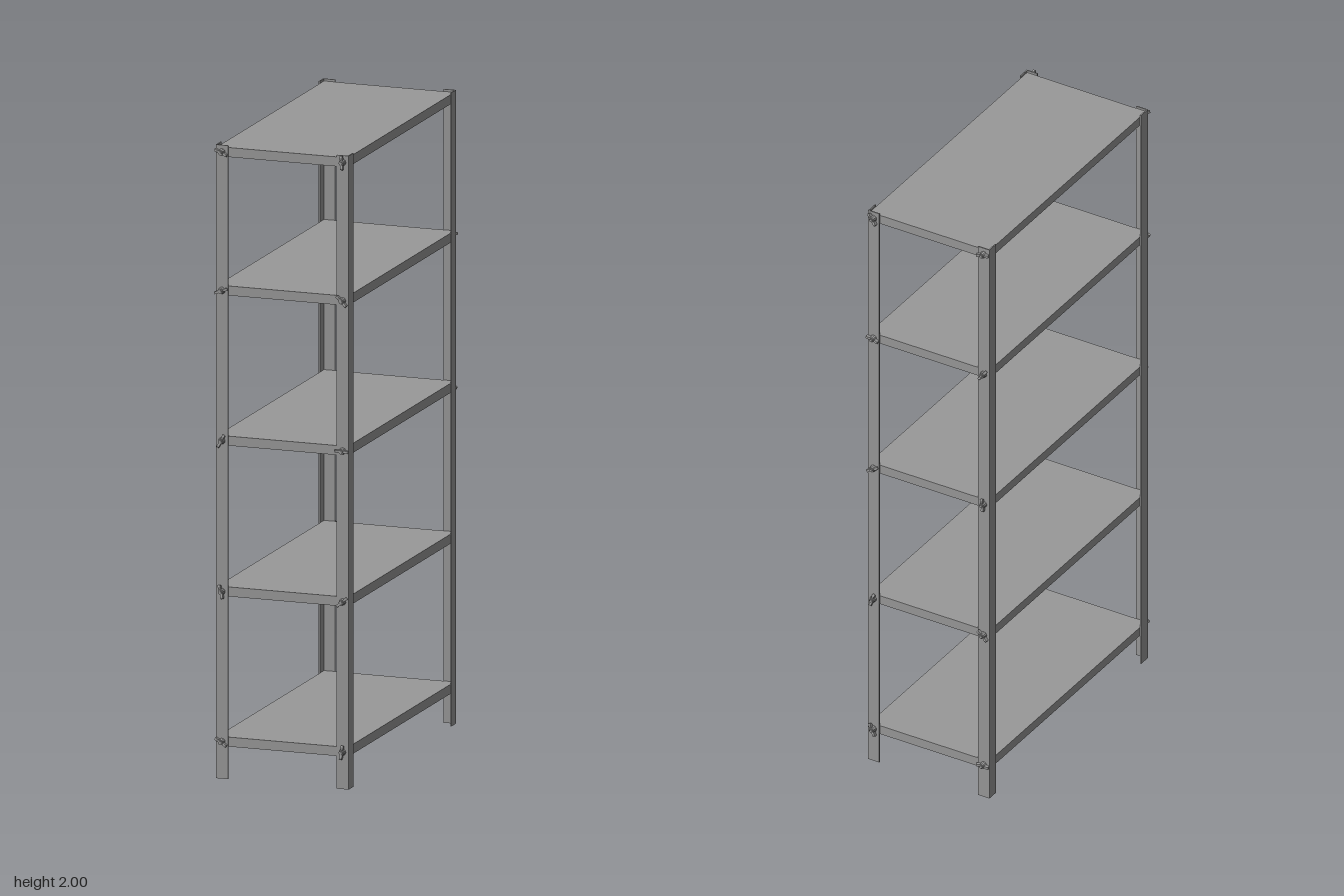
import * as THREE from 'three';

const HX = 0.218, HZ = 0.469;      // outer half width and depth of the frame
const T = 0.004;                   // sheet thickness
const FLANGE = 0.04, LIP = 0.03;   // post flange width, shelf lip height
const SHELF_TOPS = [0.132, 0.606, 1.082, 1.556, 1.993];

const steel = new THREE.MeshStandardMaterial({ color: 0x999999, flatShading: true });

function box(parent, name, w, h, d, x, y, z) {
  const mesh = new THREE.Mesh(new THREE.BoxGeometry(w, h, d), steel);
  mesh.name = name;
  mesh.position.set(x, y, z);
  parent.add(mesh);
}

// L-section corner post, open towards the middle of the rack
function post(sx, sz) {
  const outline = [[0, 0], [FLANGE, 0], [FLANGE, T], [T, T], [T, FLANGE], [0, FLANGE]]
    .map(([a, b]) => new THREE.Vector2(sx * (HX - a), -sz * (HZ - b)));
  const geometry = new THREE.ExtrudeGeometry(new THREE.Shape(outline), { depth: 2, bevelEnabled: false });
  geometry.rotateX(-Math.PI / 2);
  const mesh = new THREE.Mesh(geometry, steel);
  mesh.name = 'cornerPost';
  return mesh;
}

// Folded sheet tray, open underneath
function shelf(top) {
  const group = new THREE.Group();
  group.name = 'shelf';
  const w = 2 * (HX - T), d = 2 * (HZ - T);
  box(group, 'shelfPanel', w, T, d, 0, top - T / 2, 0);
  for (const s of [-1, 1]) {
    box(group, 'sideLip', T, LIP - T, d, s * (w - T) / 2, top - (LIP + T) / 2, 0);
    box(group, 'endLip', w - 2 * T, LIP - T, T, 0, top - (LIP + T) / 2, s * (d - T) / 2);
  }
  return group;
}

// Wing nut with a short bolt, pointing along +z from its base
function wingNut(angle) {
  const group = new THREE.Group();
  group.name = 'wingNut';
  const add = (name, geometry) => {
    const mesh = new THREE.Mesh(geometry, steel);
    mesh.name = name;
    group.add(mesh);
  };
  add('nutHub', new THREE.CylinderGeometry(0.008, 0.011, 0.014, 10).rotateX(Math.PI / 2).translate(0, 0, 0.007));
  add('boltShank', new THREE.CylinderGeometry(0.005, 0.005, 0.03, 8).rotateX(Math.PI / 2).translate(0, 0, 0.003));
  const wing = new THREE.Shape();
  wing.moveTo(0.005, 0.002);
  wing.lineTo(0.018, 0.003);
  wing.quadraticCurveTo(0.023, 0.004, 0.022, 0.011);
  wing.quadraticCurveTo(0.02, 0.015, 0.015, 0.014);
  wing.lineTo(0.005, 0.011);
  for (const turn of [0, Math.PI]) {
    const geometry = new THREE.ExtrudeGeometry(wing, { depth: 0.008, bevelEnabled: false, curveSegments: 4 });
    geometry.translate(0, 0, -0.004).rotateX(Math.PI / 2).rotateZ(turn);
    add('nutWing', geometry);
  }
  group.rotation.z = angle;
  return group;
}

export function createModel() {
  const model = new THREE.Group();
  model.name = 'shelvingRack';
  SHELF_TOPS.forEach((top) => model.add(shelf(top)));

  let count = 0;
  for (const sx of [-1, 1]) {
    for (const sz of [-1, 1]) {
      model.add(post(sx, sz));
      // One fastener per shelf on each end face, each turned differently
      for (const top of SHELF_TOPS) {
        const holder = new THREE.Group();
        holder.name = 'fastener';
        holder.add(wingNut((count++ * 2.4) % Math.PI));
        holder.position.set(sx * 0.198, top - LIP / 2, sz * HZ);
        if (sz < 0) holder.rotation.y = Math.PI;
        model.add(holder);
      }
    }
  }
  return model;
}
